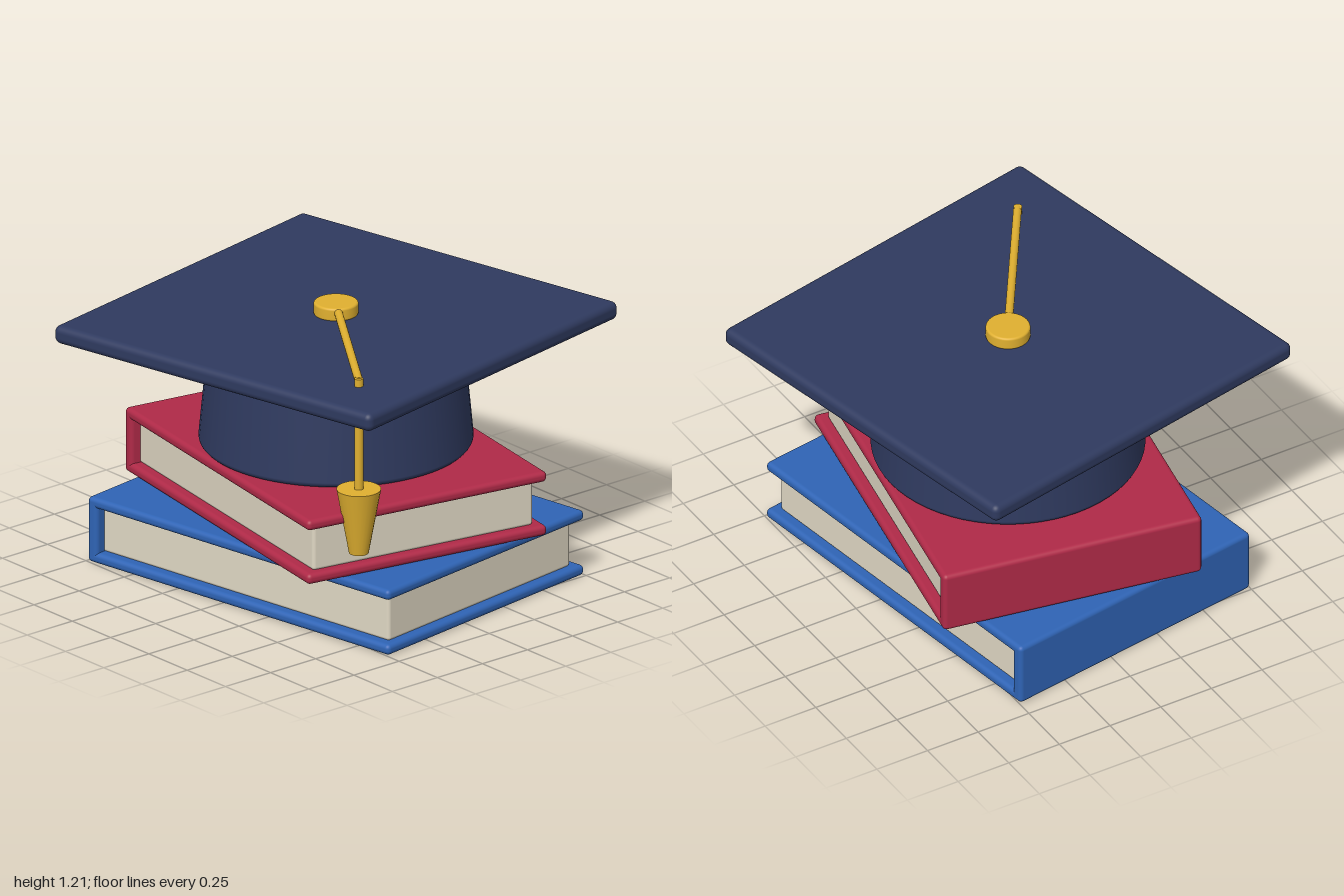
import * as THREE from 'three';
import { RoundedBoxGeometry } from 'three/addons/geometries/RoundedBoxGeometry.js';

const material = (color) => new THREE.MeshStandardMaterial({ color });
const navy = material(0x2f3a5f);
const red = material(0xb02a48);
const blue = material(0x2f64b5);
const gold = material(0xe0b030);
const paper = material(0xe0d8c4);

function part(name, geometry, mat, x = 0, y = 0, z = 0) {
  const mesh = new THREE.Mesh(geometry, mat);
  mesh.name = name;
  mesh.position.set(x, y, z);
  return mesh;
}

// Closed book lying flat, spine towards -x
function book(name, mat, width, depth, height, y, turn) {
  const board = 0.047, spine = 0.055, insetX = 0.04, insetZ = 0.048;
  const group = new THREE.Group();
  group.name = name;
  const cover = new RoundedBoxGeometry(width, board, depth, 3, 0.02);
  group.add(part('bottomCover', cover, mat, 0, board / 2, 0));
  group.add(part('topCover', cover, mat, 0, height - board / 2, 0));
  group.add(part('spine', new RoundedBoxGeometry(spine, height, depth, 3, 0.02), mat,
    -width / 2 + spine / 2, height / 2, 0));
  const pagesWidth = width - insetX - spine + 0.02;
  group.add(part('pages',
    new RoundedBoxGeometry(pagesWidth, height - 2 * board + 0.008, depth - 2 * insetZ, 3, 0.015), paper,
    width / 2 - insetX - pagesWidth / 2, height / 2, 0));
  group.position.y = y;
  group.rotation.y = turn;
  return group;
}

// Solid of revolution with rounded rims: lower and upper radius, height, rim radius
function roundedDrum(r0, r1, height, rim) {
  const points = [new THREE.Vector2(0, 0)];
  for (let i = 0; i <= 5; i++) {
    const a = (i / 5) * Math.PI / 2;
    points.push(new THREE.Vector2(r0 - rim + rim * Math.sin(a), rim - rim * Math.cos(a)));
  }
  for (let i = 0; i <= 5; i++) {
    const a = (i / 5) * Math.PI / 2;
    points.push(new THREE.Vector2(r1 - rim + rim * Math.cos(a), height - rim + rim * Math.sin(a)));
  }
  points.push(new THREE.Vector2(0, height));
  return new THREE.LatheGeometry(points, 64);
}

// Straight round cord between two points
function cord(name, from, to, radius) {
  const dir = to.clone().sub(from);
  const mesh = part(name, new THREE.CylinderGeometry(radius, radius, dir.length(), 16), gold);
  mesh.position.copy(from).add(to).multiplyScalar(0.5);
  mesh.quaternion.setFromUnitVectors(new THREE.Vector3(0, 1, 0), dir.normalize());
  return mesh;
}

export function createModel() {
  const model = new THREE.Group();
  model.name = 'graduationCapOnBooks';

  // Two stacked books, turned against each other
  model.add(book('lowerBook', blue, 1.69, 1.264, 0.295, 0, 0.15));
  model.add(book('upperBook', red, 1.554, 1.17, 0.29, 0.295, -0.18));

  // Cap: tapered crown and square board
  const cap = new THREE.Group();
  cap.name = 'cap';
  cap.add(part('crown', roundedDrum(0.582, 0.54, 0.495, 0.025), navy, 0, 0.585, 0));
  const board = part('mortarboard', new RoundedBoxGeometry(1.706, 0.082, 1.706, 4, 0.03), navy, 0, 1.115, 0);
  board.rotation.y = 0.2;
  cap.add(board);

  // Button, cord and hanging tassel
  cap.add(part('button', roundedDrum(0.095, 0.095, 0.058, 0.01), gold, 0, 1.153, 0));
  const corner = new THREE.Vector3(0.71, 1.176, 0.475);
  cap.add(cord('topCord', new THREE.Vector3(0, 1.193, 0), corner, 0.018));
  cap.add(cord('hangingCord', new THREE.Vector3(0.708, 1.19, 0.475), new THREE.Vector3(0.708, 0.68, 0.475), 0.019));
  cap.add(part('tassel', new THREE.CylinderGeometry(0.095, 0.042, 0.29, 24), gold, 0.708, 0.545, 0.475));
  model.add(cap);

  return model;
}
